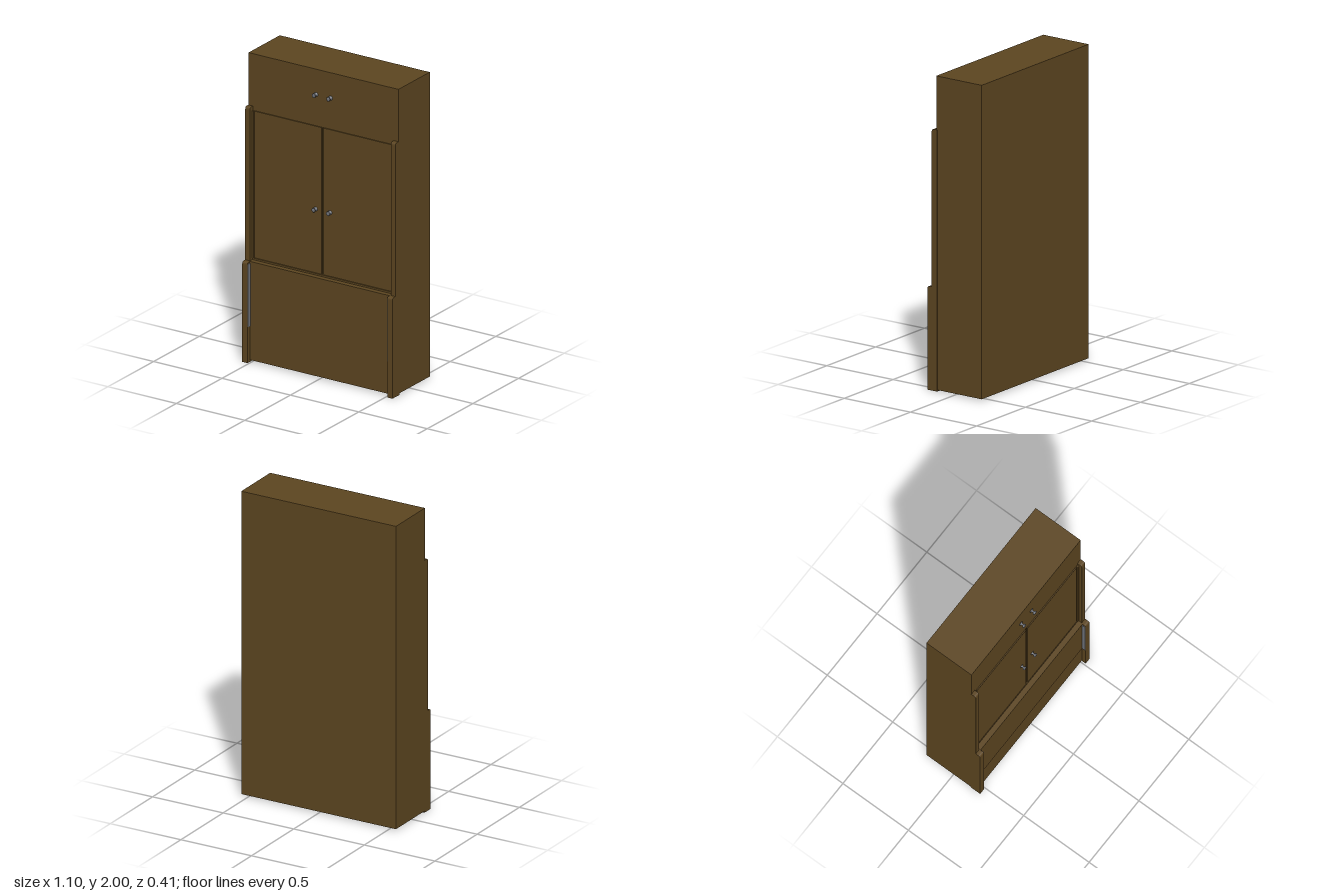
import * as THREE from 'three';

export function createModel() {
  const model = new THREE.Group();
  const material = (name, color) => {
    const m = new THREE.MeshStandardMaterial({ color });
    m.name = name;
    return m;
  };
  const wood = material('brown wood', 0x5c4520);
  const metal = material('grey metal', 0x70737a);
  const dark = material('dark gap', 0x33260f);

  // Box given by its minimum and maximum corners
  const box = (name, mat, [x0, y0, z0], [x1, y1, z1]) => {
    const mesh = new THREE.Mesh(new THREE.BoxGeometry(x1 - x0, y1 - y0, z1 - z0), mat);
    mesh.position.set((x0 + x1) / 2, (y0 + y1) / 2, (z0 + z1) / 2);
    mesh.name = name;
    model.add(mesh);
  };

  // Cabinet body, with the deeper base in front
  box('carcass', wood, [-0.548, 0.01, -0.205], [0.548, 2, 0.138]);
  box('drawerFront', wood, [-0.512, 0.235, 0.138], [0.512, 0.657, 0.18]);
  box('plinthBoard', wood, [-0.512, 0.012, 0.138], [0.512, 0.234, 0.177]);
  box('doorSill', wood, [-0.512, 0.657, 0.138], [0.512, 0.668, 0.146]);
  box('doorGap', dark, [-0.012, 0.674, 0.138], [0.012, 1.63, 0.14]);

  // Side post: a side profile with a rounded upper front corner, extruded across x
  const post = (name, side, y0, y1, z1, width) => {
    const r = 0.016, z0 = 0.13;
    const s = new THREE.Shape();
    s.moveTo(-z0, y0);
    s.lineTo(-z0, y1);
    s.lineTo(-z1 + r, y1);
    s.quadraticCurveTo(-z1, y1, -z1, y1 - r);
    s.lineTo(-z1, y0);
    const g = new THREE.ExtrudeGeometry(s, { depth: width, bevelEnabled: false, curveSegments: 5 });
    g.rotateY(Math.PI / 2);
    // The shape's x axis now runs along -z
    g.translate(side > 0 ? 0.549 - width : -0.549, 0, 0);
    const mesh = new THREE.Mesh(g, wood);
    mesh.name = name;
    model.add(mesh);
  };

  // Turned knob: base flange, thin neck, rounded head
  const knobProfile = [
    [0, 0], [0.014, 0], [0.014, 0.003], [0.007, 0.007], [0.006, 0.018],
    [0.012, 0.022], [0.014, 0.027], [0.011, 0.031], [0, 0.032],
  ].map(([x, y]) => new THREE.Vector2(x, y));
  const knobGeometry = new THREE.LatheGeometry(knobProfile, 16).rotateX(Math.PI / 2);
  const knob = (name, x, y, z) => {
    const mesh = new THREE.Mesh(knobGeometry, metal);
    mesh.position.set(x, y, z);
    mesh.name = name;
    model.add(mesh);
  };

  for (const side of [1, -1]) {
    const label = side > 0 ? 'left' : 'right';
    const span = (a, b) => (side > 0 ? [a, b] : [-b, -a]);

    post(label + 'LowerPost', side, 0, 0.657, 0.205, 0.038);
    post(label + 'UpperPost', side, 0.65, 1.658, 0.172, 0.034);

    // Door and the narrow strip beside it
    const [d0, d1] = span(0.008, 0.499);
    box(label + 'Door', wood, [d0, 0.674, 0.138], [d1, 1.63, 0.145]);
    const [s0, s1] = span(0.504, 0.515);
    box(label + 'DoorStrip', wood, [s0, 0.668, 0.138], [s1, 1.63, 0.15]);

    // Metal runner along the inner edge of the lower post
    const [m0, m1] = span(0.507, 0.512);
    box(label + 'Runner', metal, [m0, 0.235, 0.178], [m1, 0.645, 0.203]);

    knob(label + 'UpperKnob', side * 0.053, 1.835, 0.138);
    knob(label + 'DoorKnob', side * 0.053, 1.088, 0.142);
  }
  return model;
}
